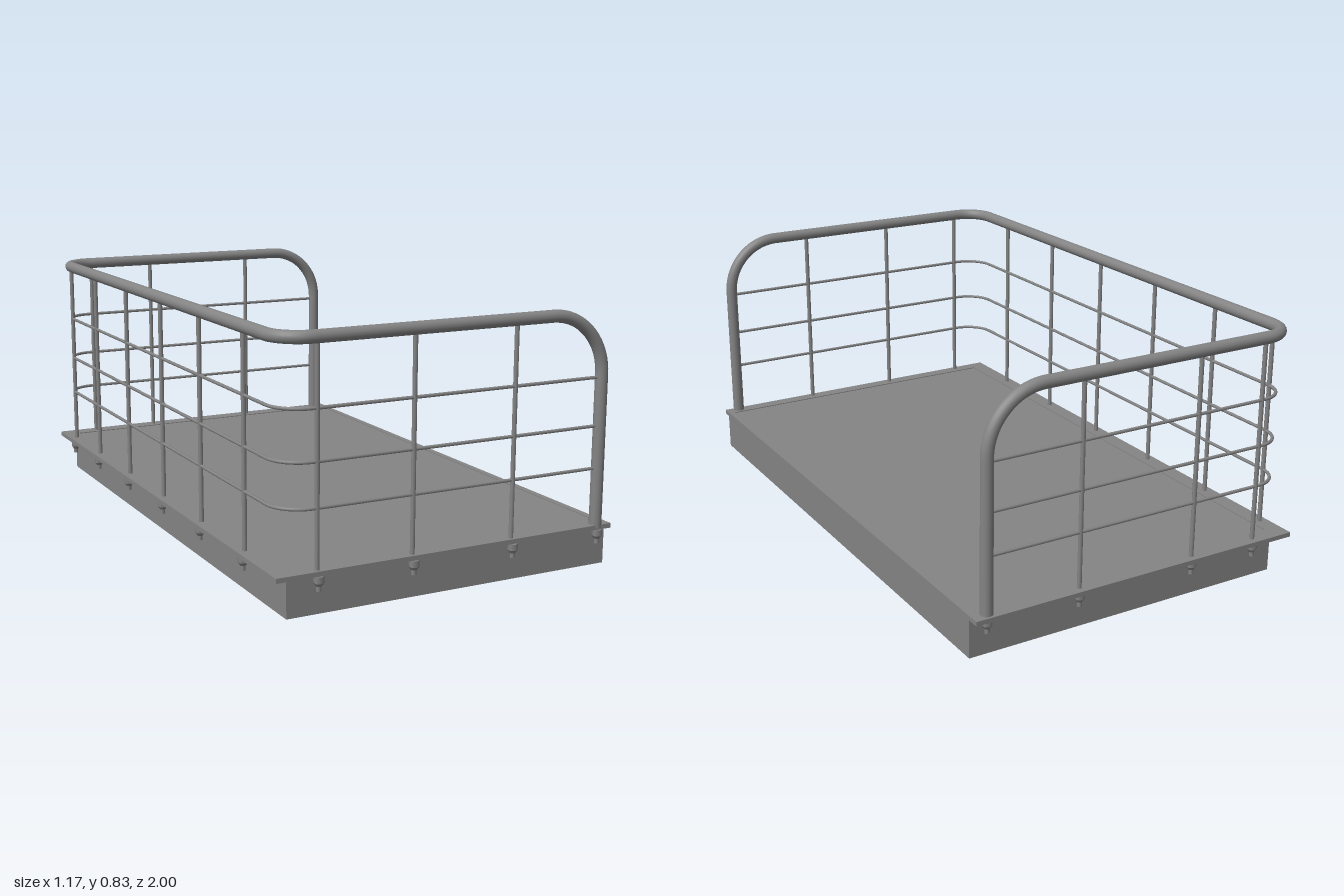
import * as THREE from 'three';

const material = new THREE.MeshStandardMaterial({ color: 0x848484 });
const V = (x, y, z) => new THREE.Vector3(x, y, z);

const DECK_Y = 0.14;    // top of the deck
const RAIL_Y = 0.815;   // centre of the top rail
const RAIL_Z = 0.973;   // centre of the side rails
const BACK_X = -0.561;  // centre of the long rail
const LEG_X = 0.538;    // centre of the end legs

// Path through corner points [vector, bend radius], each bend a quarter circle
function bentPath(corners) {
  const path = new THREE.CurvePath();
  let last = corners[0][0];
  for (let i = 1; i < corners.length; i++) {
    const [p, r] = corners[i];
    if (!r) { path.add(new THREE.LineCurve3(last, p)); last = p; continue; }
    const a = corners[i - 1][0].clone().sub(p).normalize();
    const b = corners[i + 1][0].clone().sub(p).normalize();
    const at = (dir, d) => p.clone().addScaledVector(dir, d);
    const start = at(a, r), end = at(b, r), k = r * 0.4477;
    path.add(new THREE.LineCurve3(last, start));
    path.add(new THREE.CubicBezierCurve3(start, at(a, k), at(b, k), end));
    last = end;
  }
  return path;
}

export function createModel() {
  const model = new THREE.Group();

  const add = (name, geometry, x = 0, y = 0, z = 0, parent = model) => {
    const mesh = new THREE.Mesh(geometry, material);
    mesh.name = name;
    mesh.position.set(x, y, z);
    parent.add(mesh);
    return mesh;
  };
  const box = (name, x0, x1, y0, y1, z0, z1) =>
    add(name, new THREE.BoxGeometry(x1 - x0, y1 - y0, z1 - z0),
      (x0 + x1) / 2, (y0 + y1) / 2, (z0 + z1) / 2);

  // Flat rectangular ring lying in the xz plane, extruded upwards
  const rect = (P, x0, x1, z0, z1) => new P([
    new THREE.Vector2(x0, -z0), new THREE.Vector2(x0, -z1),
    new THREE.Vector2(x1, -z1), new THREE.Vector2(x1, -z0)]);
  const ring = (outer, inner, height) => {
    const shape = rect(THREE.Shape, ...outer);
    shape.holes.push(rect(THREE.Path, ...inner));
    return new THREE.ExtrudeGeometry(shape, { depth: height, bevelEnabled: false })
      .rotateX(-Math.PI / 2);
  };

  // Deck: rim plate, inset floor panel and hollow skirt
  add('deckRim', ring([-0.588, 0.587, -1, 0.99], [-0.53, 0.565, -0.945, 0.945], 0.015), 0, DECK_Y - 0.015);
  box('floorPanel', -0.53, 0.565, DECK_Y - 0.014, DECK_Y - 0.003, -0.945, 0.945);
  add('skirt', ring([-0.54, 0.587, -0.957, 0.957], [-0.532, 0.579, -0.949, 0.949], DECK_Y - 0.015));

  // Shallow cross members under the floor
  for (const z of [-0.5, 0.5])
    box('crossMember', -0.532, 0.579, DECK_Y - 0.022, DECK_Y - 0.014, z - 0.13, z + 0.13);

  // Top rail, bent down into a leg at each end
  const railPath = bentPath([
    [V(LEG_X, DECK_Y - 0.01, RAIL_Z), 0],
    [V(LEG_X, RAIL_Y, RAIL_Z), 0.19],
    [V(BACK_X, RAIL_Y, RAIL_Z), 0.1],
    [V(BACK_X, RAIL_Y, -RAIL_Z), 0.1],
    [V(LEG_X, RAIL_Y, -RAIL_Z), 0.19],
    [V(LEG_X, DECK_Y - 0.01, -RAIL_Z), 0],
  ]);
  add('topRail', new THREE.TubeGeometry(railPath, 300, 0.02, 16));

  // Thin horizontal bars following the rail around three sides
  for (const y of [0.323, 0.459, 0.613]) {
    const path = bentPath([
      [V(LEG_X, y, RAIL_Z), 0],
      [V(BACK_X, y, RAIL_Z), 0.1],
      [V(BACK_X, y, -RAIL_Z), 0.1],
      [V(LEG_X, y, -RAIL_Z), 0],
    ]);
    add('horizontalBar', new THREE.TubeGeometry(path, 240, 0.0055, 8));
  }

  // Upright bars, and a stud with a nut below the deck under each bar and leg
  const barLength = RAIL_Y - DECK_Y + 0.01;
  const barGeometry = new THREE.CylinderGeometry(0.0075, 0.0075, barLength, 10);
  const nutGeometry = new THREE.CylinderGeometry(0.016, 0.016, 0.02, 6);
  const taperGeometry = new THREE.CylinderGeometry(0.016, 0.009, 0.01, 6);
  const studGeometry = new THREE.CylinderGeometry(0.008, 0.008, 0.045, 10);
  const addBolt = (x, z) => {
    const bolt = new THREE.Group();
    bolt.name = 'bolt';
    bolt.position.set(x, 0, z);
    add('nut', nutGeometry, 0, 0.115, 0, bolt);
    add('nutTaper', taperGeometry, 0, 0.1, 0, bolt);
    add('stud', studGeometry, 0, 0.1025, 0, bolt);
    model.add(bolt);
  };
  const addUpright = (x, z) =>
    add('uprightBar', barGeometry, x, DECK_Y - 0.01 + barLength / 2, z);

  for (const [side, xs] of [[1, [-0.45, -0.134, 0.217]], [-1, [-0.45, -0.204, 0.217]]]) {
    const boltZ = side > 0 ? 0.984 : -0.976;
    for (const x of xs) {
      addUpright(x, side * RAIL_Z);
      addBolt(x, boltZ);
    }
    addBolt(LEG_X, boltZ);
  }
  for (const z of [0.72, 0.39, 0.063, -0.267, -0.595, -0.88]) {
    addUpright(BACK_X, z);
    addBolt(BACK_X - 0.006, z);
  }

  return model;
}
